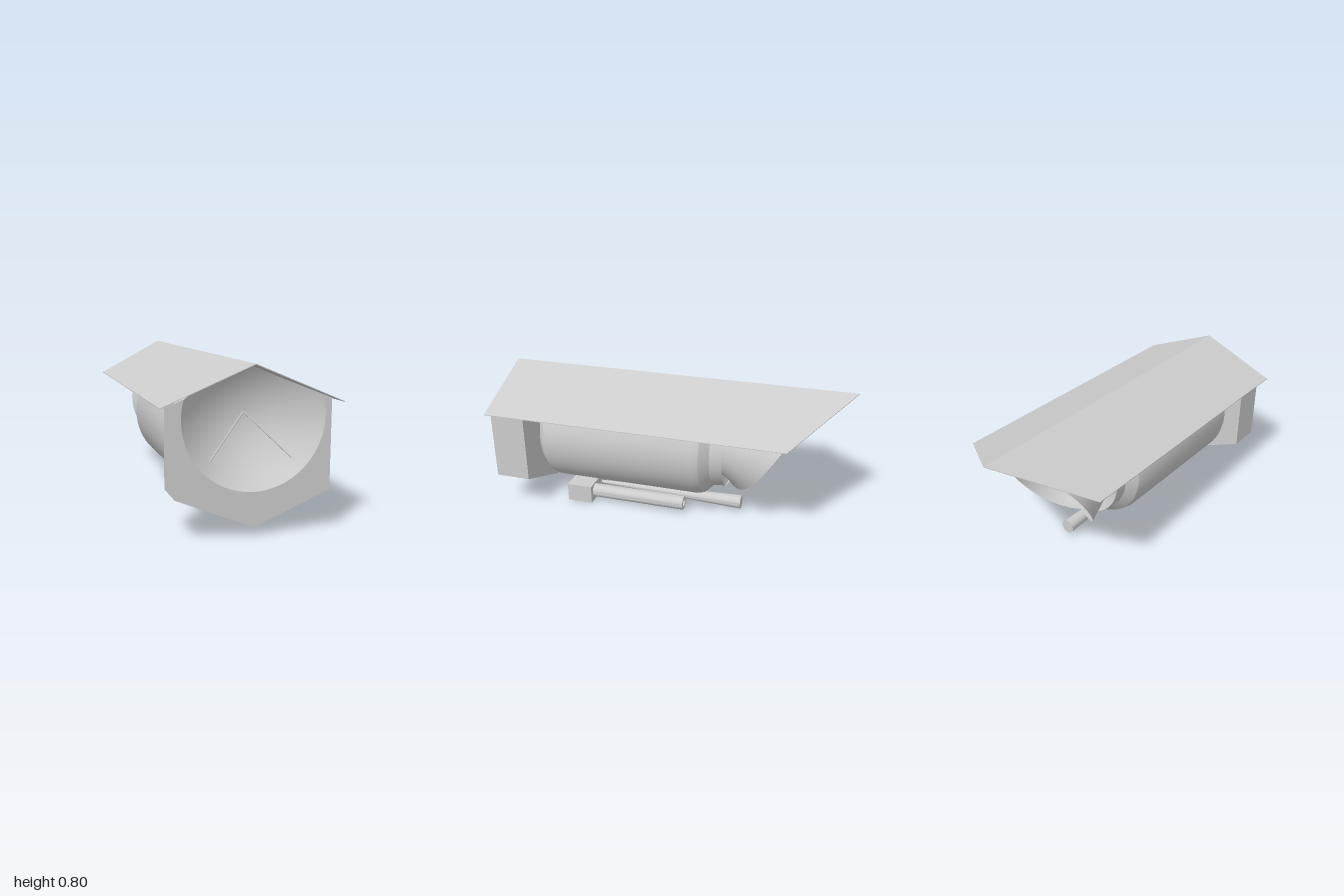
import * as THREE from 'three';
import { toCreasedNormals } from 'three/addons/utils/BufferGeometryUtils.js';

const grey = new THREE.MeshStandardMaterial({ color: 0xcccccc, side: THREE.DoubleSide });
grey.name = 'light grey';

// Grid surface: each (u, v) in 0..1 is placed by a rule
function surface(rule, nu, nv) {
  const geo = new THREE.PlaneGeometry(1, 1, nu, nv);
  const { position, uv } = geo.attributes;
  for (let i = 0; i < position.count; i++) {
    position.setXYZ(i, ...rule(uv.getX(i), uv.getY(i)));
  }
  geo.computeVertexNormals();
  return geo;
}

// Turned part along z from [radius, z] points
function turned(points, segments) {
  const geo = new THREE.LatheGeometry(points.map(p => new THREE.Vector2(...p)), segments);
  geo.rotateX(Math.PI / 2);
  return toCreasedNormals(geo, 0.4);
}

export function createModel() {
  const group = new THREE.Group();
  const add = (name, geo, x = 0, y = 0, z = 0) => {
    const mesh = new THREE.Mesh(geo, grey);
    mesh.name = name;
    mesh.position.set(x, y, z);
    group.add(mesh);
    return mesh;
  };

  // Pitched sunshield: two thin sloping panels with pointed rear
  for (const side of [1, -1]) {
    const shape = new THREE.Shape([[0, -1], [0.44 * side, -1], [0.44 * side, 0.69], [0, 1]]
      .map(p => new THREE.Vector2(...p)));
    const geo = new THREE.ExtrudeGeometry(shape, { depth: 0.004, bevelEnabled: false });
    geo.rotateX(-Math.PI / 2);
    const pos = geo.attributes.position;
    for (let i = 0; i < pos.count; i++) {
      pos.setY(i, pos.getY(i) + 0.791 - 0.416 * Math.abs(pos.getX(i)));
    }
    geo.computeVertexNormals();
    add(side > 0 ? 'leftShield' : 'rightShield', geo);
  }

  // Hexagonal bus with a round recess that breaks through its top
  const dishY = 0.555, dishR = 0.345, cut = 0.272;
  const sides = [[0.375, 0.63], [0.375, 0.197], [0, 0.042], [-0.375, 0.197], [-0.375, 0.63]];
  const frame = new THREE.Shape();
  frame.moveTo(0.332, 0.648);
  sides.forEach(p => frame.lineTo(...p));
  frame.lineTo(-0.332, 0.648);
  frame.absarc(0, dishY, dishR, Math.PI - cut, Math.PI * 2 + cut, false);
  add('busFrame', new THREE.ExtrudeGeometry(frame, { depth: 0.2, bevelEnabled: false, curveSegments: 64 }), 0, 0, 0.8);
  const hex = new THREE.Shape([...sides, [0, 0.785]].map(p => new THREE.Vector2(...p)));
  const back = new THREE.ShapeGeometry(hex);
  back.rotateY(Math.PI);
  add('busBack', back, 0, 0, 0.8);

  // Concave dish trimmed by the bus roof, and the bus roof behind its edge
  const edge = u => {
    const a = u * Math.PI * 2, s = Math.sin(a), c = Math.cos(a);
    const slope = c + 0.4133 * Math.abs(s);
    return [s, c, slope > 0 ? Math.min(dishR, 0.23 / slope) : dishR];
  };
  const dishZ = r => 0.833 + 0.167 * (r / dishR) ** 2;
  add('dish', surface((u, v) => {
    const [s, c, r] = edge(u);
    return [s * r * v, dishY + c * r * v, dishZ(r * v)];
  }, 120, 20));
  add('busTop', toCreasedNormals(surface((u, v) => {
    const [s, c, r] = edge(u);
    return [s * r, dishY + c * r, 0.8 + (dishZ(r) - 0.8) * v];
  }, 120, 1), 0.4));

  // Two thin struts from the dish centre
  for (const side of [1, -1]) {
    const path = new THREE.LineCurve3(
      new THREE.Vector3(0, 0.557, 0.836), new THREE.Vector3(0.215 * side, 0.333, 0.955));
    add(side > 0 ? 'leftStrut' : 'rightStrut', new THREE.TubeGeometry(path, 1, 0.004, 6));
  }

  // Telescope barrel with domed front, rear collar, mirror ring and deep bore
  add('barrel', turned([
    [0, -0.1], [0.1, -0.1], [0.1, -0.28], [0.185, -0.28], [0.255, -0.31], [0.255, -0.32],
    [0.26, -0.25], [0.31, -0.2], [0.32, -0.16], [0.32, 0.69], [0.31, 0.72], [0.275, 0.755],
    [0.22, 0.765], [0.12, 0.78], [0, 0.785],
  ], 64), 0, 0.42, 0);

  // Flared baffle, its rim sweeping back towards the top
  add('baffle', surface((u, v) => {
    const a = (u * 2 - 1) * Math.PI;
    const r = 0.19 + 0.075 * v;
    const rim = -0.32 - 0.53 * Math.abs(a) / Math.PI;
    return [r * Math.sin(a), 0.42 - r * Math.cos(a), -0.285 + (rim + 0.285) * v];
  }, 96, 12));

  // Instrument box with a hollow tube and a long tapered horn
  add('instrumentBox', new THREE.BoxGeometry(0.231, 0.107, 0.15), 0.1025, 0.0535, 0.555);
  add('hollowTube', turned([
    [0, 0.0], [0.022, 0.0], [0.022, -0.08], [0.04, -0.08], [0.04, 0.48],
  ], 32), 0.155, 0.058, 0);
  add('horn', turned([[0, -0.4], [0.04, -0.4], [0.01, 0.48]], 32), 0.045, 0.056, 0);

  return group;
}
